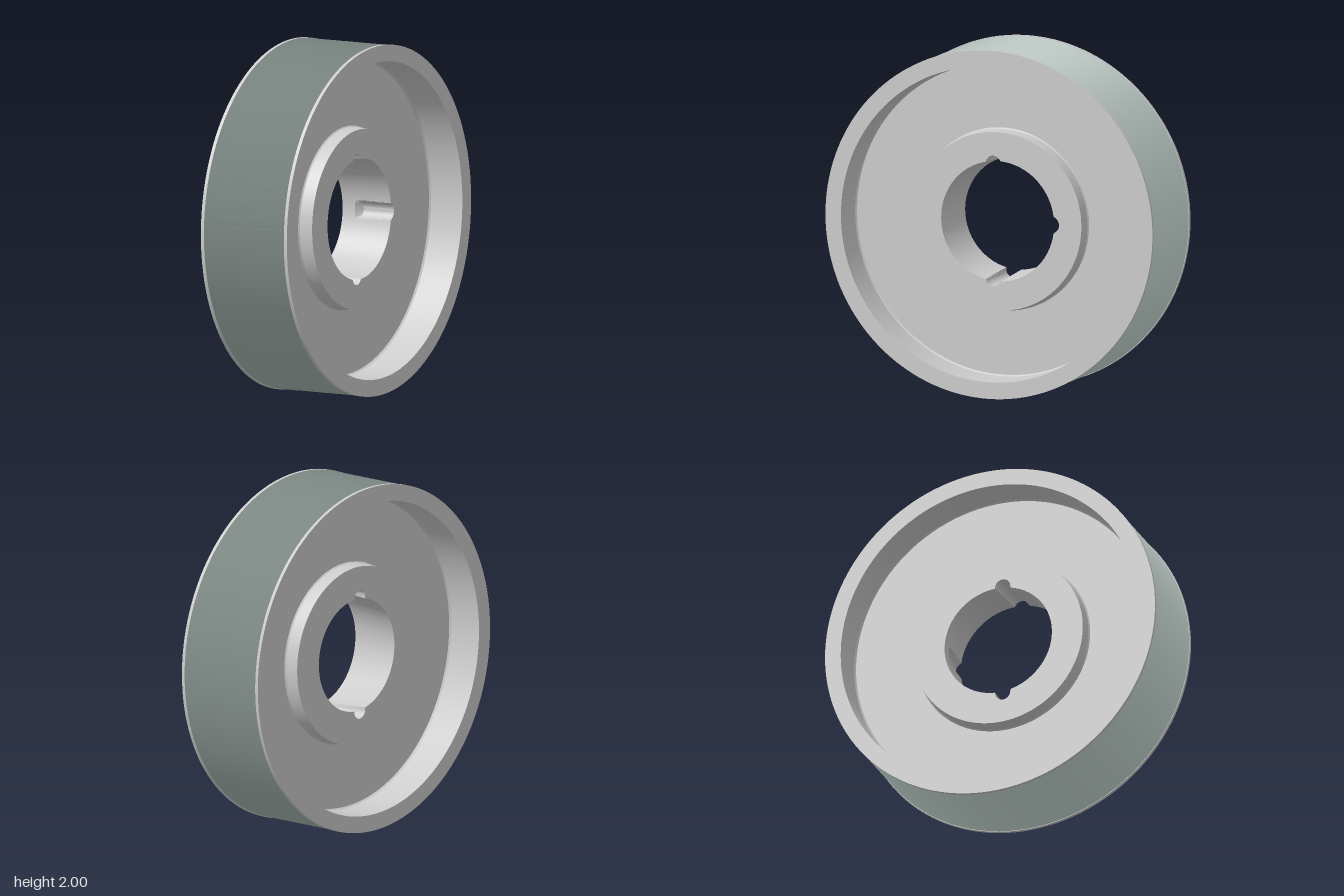
import * as THREE from 'three';
import { toCreasedNormals } from 'three/addons/utils/BufferGeometryUtils.js';

const HALF = 0.285;      // half width of the rim
const BELT = 0.265;      // half width of the grooved band
const WEB = 0.07;        // half thickness of the web
const HUB = 0.155;       // half length of the hub
const HUB_R = 0.512;

// Lathe about the x axis; each point is [radius, x]
function turned(points) {
  const geo = new THREE.LatheGeometry(points.map(([r, x]) => new THREE.Vector2(r, x)), 144);
  geo.rotateZ(-Math.PI / 2);
  return toCreasedNormals(geo, 0.5);
}

// Far distance at which a ray at angle t leaves a circle (0 if it misses)
function reach(t, cy, cz, rad) {
  const along = cy * Math.cos(t) + cz * Math.sin(t);
  const off = cz * Math.cos(t) - cy * Math.sin(t);
  return along > 0 && Math.abs(off) < rad ? along + Math.sqrt(rad * rad - off * off) : 0;
}

// Tapered bore with two through notches and one blind notch, plus both hub faces
function hubCore() {
  const bore = (x, blind) => (t) => Math.max(
    0.335 + (x / HUB) * 0.01,
    reach(t, 0.329, 0.027, 0.046),
    reach(t, -0.329, 0.027, 0.046),
    blind ? reach(t, 0, -0.325, blind) : 0
  );
  const rim = () => HUB_R;
  const rows = [
    [HUB, rim], [HUB, bore(HUB, 0.05)], [-0.045, bore(-0.045, 0.05)],
    [-0.075, bore(-0.075, 0)], [-HUB, bore(-HUB, 0)], [-HUB, rim]
  ];
  const n = 720, pos = [], idx = [];
  for (const [x, radius] of rows) {
    for (let i = 0; i < n; i++) {
      const t = (i / n) * Math.PI * 2, r = radius(t);
      pos.push(x, r * Math.cos(t), r * Math.sin(t));
    }
  }
  for (let j = 0; j < rows.length - 1; j++) {
    for (let i = 0; i < n; i++) {
      const a = j * n + i, b = j * n + (i + 1) % n;
      idx.push(a, b, a + n, b, b + n, a + n);
    }
  }
  const geo = new THREE.BufferGeometry();
  geo.setAttribute('position', new THREE.Float32BufferAttribute(pos, 3));
  geo.setIndex(idx);
  return toCreasedNormals(geo, 0.5);
}

export function createModel() {
  const group = new THREE.Group();
  const grey = new THREE.MeshStandardMaterial({ color: 0xcccccc });
  const beltGrey = new THREE.MeshStandardMaterial({ color: 0x9caaa5 });
  const add = (name, geo, mat) => {
    const mesh = new THREE.Mesh(geo, mat);
    mesh.name = name;
    mesh.position.y = 1;
    group.add(mesh);
  };

  // Flange, rim inside, web and hub wall of one side; the other is mirrored
  const side = [
    [0.972, BELT], [1, BELT], [1, HALF], [0.905, HALF],
    [0.902, WEB + 0.01], [0.894, WEB], [0.525, WEB], [0.518, WEB + 0.008], [HUB_R, HUB]
  ];
  add('leftSide', turned(side), grey);
  add('rightSide', turned(side.map(([r, x]) => [r, -x]).reverse()), grey);

  // Band of V grooves around the rim
  const grooves = 20, pitch = (2 * BELT) / grooves;
  const band = [];
  for (let i = 0; i < grooves; i++) {
    const x = -BELT + i * pitch;
    band.push([0.997, x], [0.972, x + pitch * 0.42], [0.972, x + pitch * 0.58]);
  }
  band.push([0.997, BELT]);
  add('groovedBand', turned(band), beltGrey);

  add('hubBore', hubCore(), grey);
  return group;
}
